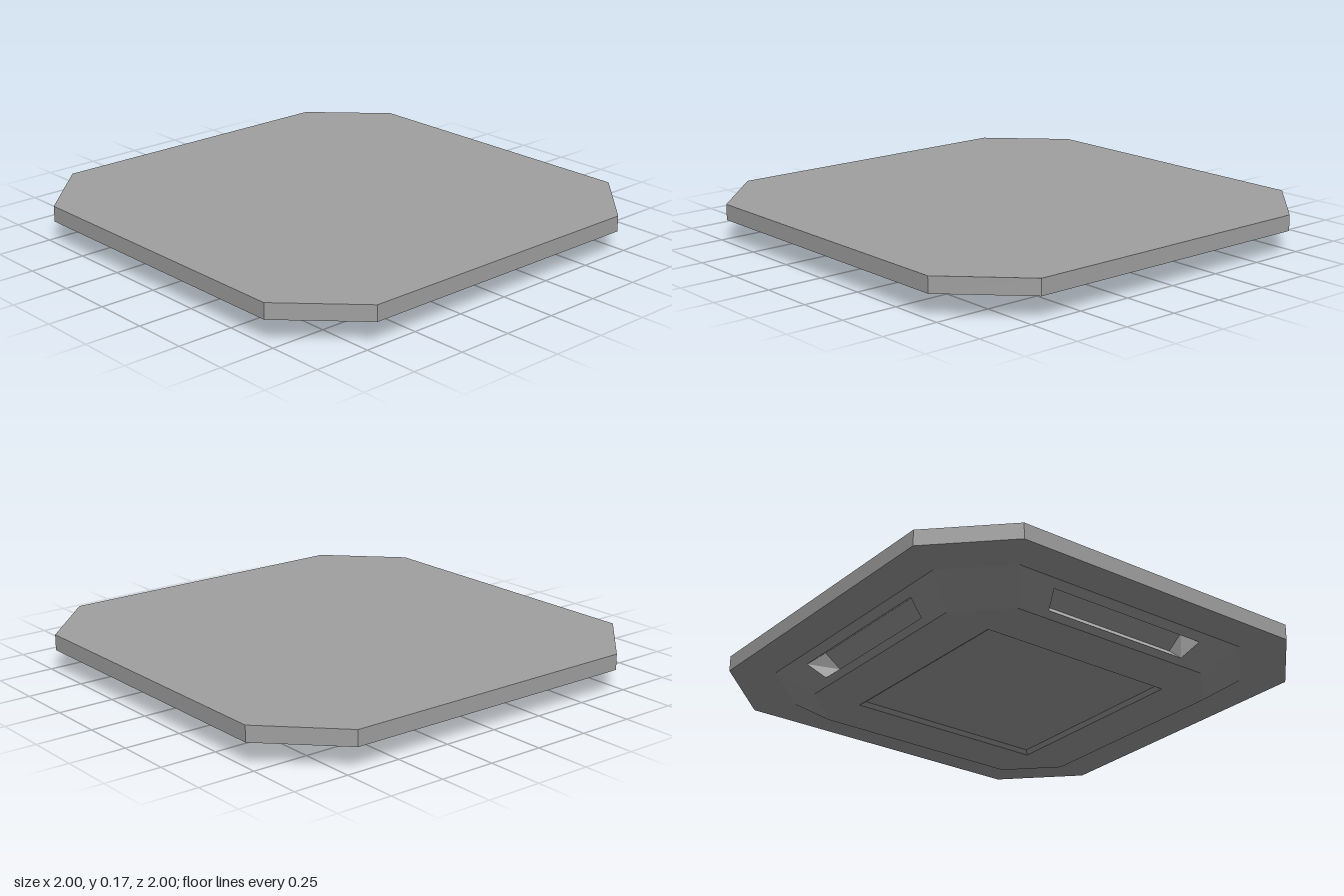
import * as THREE from 'three';

const stone = new THREE.MeshStandardMaterial({ color: 0xa0a0a0 });
stone.name = 'stone grey';

// Eight-sided ring: half width h, half length c of the straight sides, height y
const octagon = (h, c, y) => [
  [-c, h], [c, h], [h, c], [h, -c], [c, -h], [-c, -h], [-h, -c], [-h, c],
].map(([x, z]) => new THREE.Vector3(x, y, z));

// Flat fan over a convex loop
function cap(loop) {
  const tris = [];
  for (let i = 1; i < loop.length - 1; i++) tris.push(loop[0], loop[i], loop[i + 1]);
  return tris;
}

// Quads joining two loops of equal length
function band(a, b) {
  return a.flatMap((p, i) => {
    const j = (i + 1) % a.length;
    return cap([p, a[j], b[j], b[i]]);
  });
}

function part(name, points) {
  const geometry = new THREE.BufferGeometry().setFromPoints(points);
  geometry.computeVertexNormals();
  const mesh = new THREE.Mesh(geometry, stone);
  mesh.name = name;
  return mesh;
}

export function createModel() {
  const group = new THREE.Group();
  group.name = 'octagonalPlatform';

  const slabTop = octagon(1, 0.7, 0.17);
  const slabBottom = octagon(1, 0.7, 0.1);
  const skirtTop = octagon(0.83, 0.59, 0.1);
  const skirtBottom = octagon(0.69, 0.49, 0);
  const recessEdge = octagon(0.47, 0.47, 0);
  const recessCeiling = octagon(0.45, 0.45, 0.015);

  // Top slab, open below where the skirt joins it
  group.add(part('slab', [
    ...cap(slabTop),
    ...band(slabBottom, slabTop),
    ...band(skirtTop, slabBottom),
  ]));

  // Base with a shallow square recess underneath
  group.add(part('base', band(recessEdge, skirtBottom)));
  group.add(part('baseRecess', [
    ...band(recessCeiling, recessEdge),
    ...cap([...recessCeiling].reverse()),
  ]));

  // Sloped side with a slot sunk into it, as seen from the front
  const onSlope = (x, y) => new THREE.Vector3(x, y, 0.69 + 1.4 * y);
  const side = [skirtBottom[0], skirtBottom[1], skirtTop[1], skirtTop[0]];
  const opening = [
    onSlope(-0.355, 0.02), onSlope(0.355, 0.02), onSlope(0.39, 0.075), onSlope(-0.39, 0.075),
  ];
  const back = opening.map((p) => new THREE.Vector3(Math.sign(p.x) * 0.355, p.y + 0.06, p.z - 0.07));
  // Sloped corner
  const corner = [skirtBottom[1], skirtBottom[2], skirtTop[2], skirtTop[1]];

  for (let i = 0; i < 4; i++) {
    const quarter = new THREE.Group();
    quarter.name = 'skirtQuarter';
    quarter.rotation.y = i * Math.PI / 2;
    quarter.add(
      part('skirtSide', band(side, opening)),
      part('slot', [...band(opening, back), ...cap(back)]),
      part('skirtCorner', cap(corner)),
    );
    group.add(quarter);
  }
  return group;
}
